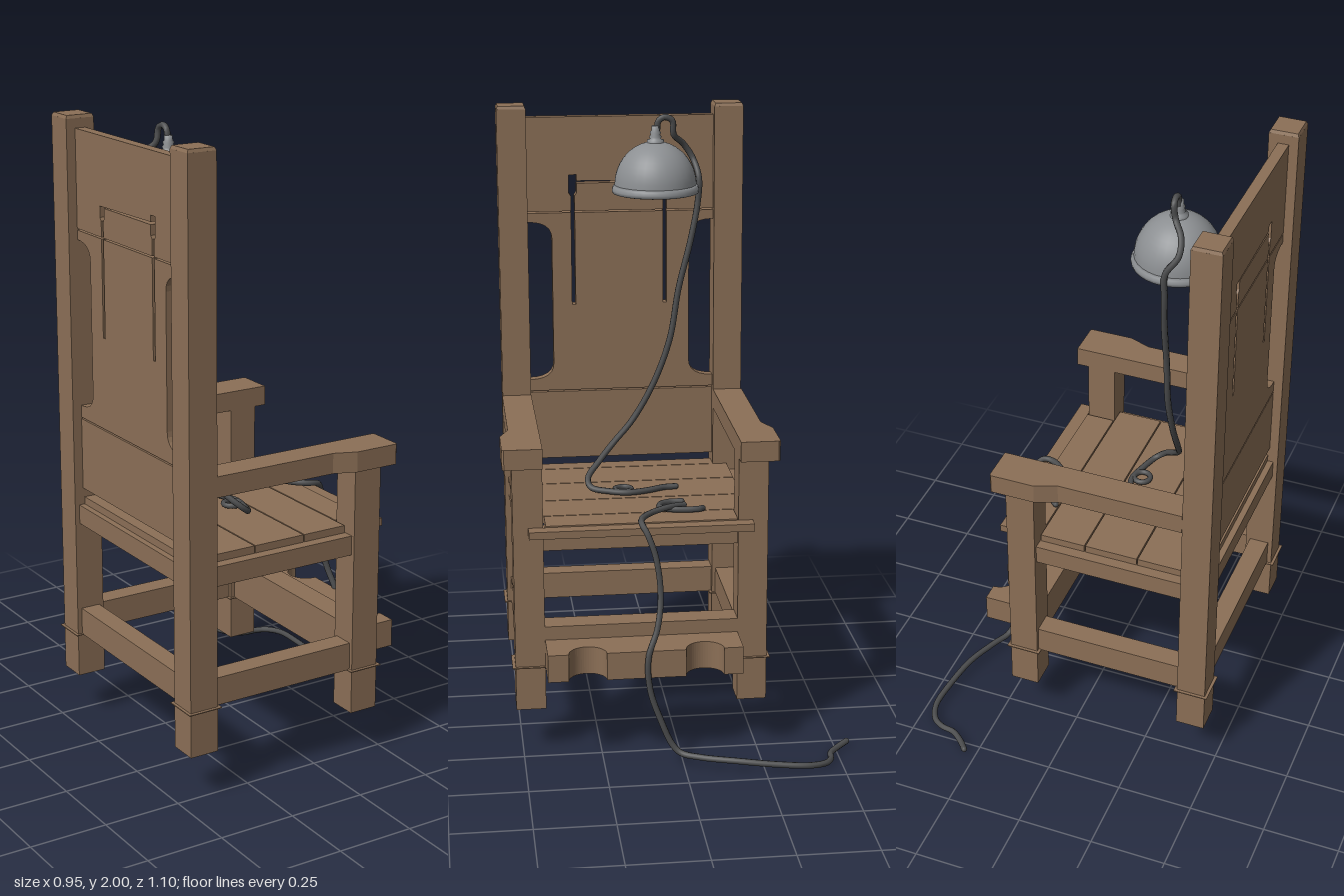
import * as THREE from 'three';

const WOOD = new THREE.MeshStandardMaterial({ color: 0x8b6f56, flatShading: true });
const METAL = new THREE.MeshStandardMaterial({ color: 0x8c8f92, side: THREE.DoubleSide });
const CABLE = new THREE.MeshStandardMaterial({ color: 0x4c4d4e });
const ZC = 0.1175; // middle of the chair across its width
const HALF = 0.308; // half the clear width between the posts

export function createModel() {
  const root = new THREE.Group();

  const add = (name, geo, mat = WOOD) => {
    const m = new THREE.Mesh(geo, mat);
    m.name = name;
    root.add(m);
    return m;
  };
  // Box given by its limits
  const box = (name, x0, x1, y0, y1, z0, z1, mat) => {
    const g = new THREE.BoxGeometry(x1 - x0, y1 - y0, z1 - z0);
    g.translate((x0 + x1) / 2, (y0 + y1) / 2, (z0 + z1) / 2);
    return add(name, g, mat);
  };
  // Box at a distance a..b from the middle, on one side or the other
  const sideBox = (name, s, x0, x1, y0, y1, a, b) =>
    box(name, x0, x1, y0, y1, Math.min(ZC + s * a, ZC + s * b), Math.max(ZC + s * a, ZC + s * b));
  // Flat board cut from an (x, z) outline
  const flatBoard = (name, shape, top, thick) => {
    const g = new THREE.ExtrudeGeometry(shape, { depth: thick, bevelEnabled: false, curveSegments: 12 });
    g.rotateX(Math.PI / 2).translate(0, top, 0);
    return add(name, g);
  };
  const polygon = pts => new THREE.Shape(pts.map(p => new THREE.Vector2(...p)));
  const zMin = ZC - HALF, zMax = ZC + HALF;

  for (const s of [-1, 1]) {
    // Posts, with thin collars near the feet and a shallow chamfered top on the tall ones
    sideBox('backPost', s, -0.465, -0.37, 0.155, 1.99, HALF, 0.403);
    const cap = new THREE.CylinderGeometry(0.061, 0.067, 0.01, 4).rotateY(Math.PI / 4);
    add('postCap', cap.translate(-0.4175, 1.995, ZC + s * 0.3555));
    sideBox('frontPost', s, 0.125, 0.22, 0.155, 0.97, HALF, 0.403);
    for (const x of [-0.4175, 0.1725])
      sideBox('footCollar', s, x - 0.057, x + 0.057, 0.299, 0.302, 0.299, 0.413);
    // Side rails
    sideBox('seatSideRail', s, -0.37, 0.125, 0.685, 0.748, 0.32, 0.39);
    sideBox('lowerSideRail', s, -0.37, 0.125, 0.3, 0.39, 0.32, 0.39);
    // Armrest, flaring outward at the hand
    const z = d => ZC + s * d;
    flatBoard('armrest', polygon([[-0.37, z(0.308)], [0.26, z(0.308)], [0.26, z(0.427)], [0.255, z(0.433)],
      [0.11, z(0.433)], [0.04, z(0.405)], [-0.37, z(0.405)]]), 1.035, 0.065);
  }

  // Cross rails
  box('seatFrontRail', 0.14, 0.205, 0.685, 0.748, zMin, zMax);
  box('seatBackRail', -0.45, -0.385, 0.685, 0.748, zMin, zMax);
  box('lowerFrontRail', 0.14, 0.22, 0.3, 0.435, zMin, zMax);
  box('lowerBackRail', -0.45, -0.385, 0.3, 0.39, zMin, zMax);

  // Seat planks
  const cuts = [-0.367, -0.207, -0.029, 0.124];
  for (let i = 0; i < 3; i++)
    box('seatPlank', cuts[i] + 0.002, cuts[i + 1] - 0.002, 0.748, 0.772, ZC - 0.355, ZC + 0.355);
  box('seatPlank', -0.43, -0.369, 0.748, 0.772, zMin, zMax);
  box('seatFrontPlank', 0.126, 0.222, 0.748, 0.772, zMin + 0.002, zMax - 0.008);
  box('seatEdgePlank', 0.223, 0.266, 0.744, 0.768, ZC - 0.353, ZC + 0.355);

  // Ankle board with two round notches
  const ankle = new THREE.Shape();
  ankle.moveTo(0.22, zMin);
  ankle.lineTo(0.35, zMin);
  for (const c of [-0.07, 0.3]) {
    ankle.lineTo(0.35, c - 0.06);
    ankle.absarc(0.35, c, 0.06, -Math.PI / 2, -Math.PI * 1.5, true);
  }
  ankle.lineTo(0.35, zMax);
  ankle.lineTo(0.22, zMax);
  flatBoard('ankleBoard', ankle, 0.39, 0.09);

  // Backrest boards: outlines in (z, y)
  const backBoard = (name, shape) => {
    const g = new THREE.ExtrudeGeometry(shape, { depth: 0.035, bevelEnabled: false, curveSegments: 6 });
    g.rotateY(-Math.PI / 2).translate(-0.4, 0, 0);
    add(name, g);
  };
  const slotA = -0.03, slotB = 0.275, w = 0.006, k = 0.013;
  box('lowerBackBoard', -0.435, -0.4, 0.803, 1.036, zMin, zMax);

  // Middle board with rounded side cutouts and two strap slots
  const mid = new THREE.Shape();
  const e = 0.08, r = 0.055;
  mid.moveTo(zMin, 1.041);
  mid.lineTo(zMax, 1.041);
  mid.lineTo(zMax, 1.08);
  mid.quadraticCurveTo(zMax - e, 1.08, zMax - e, 1.08 + r);
  mid.lineTo(zMax - e, 1.615 - r);
  mid.quadraticCurveTo(zMax - e, 1.615, zMax, 1.615);
  mid.lineTo(zMax, 1.645);
  for (const c of [slotB, slotA])
    for (const [dz, y] of [[w, 1.645], [w, 1.335], [-w, 1.335], [-w, 1.645]]) mid.lineTo(c + dz, y);
  mid.lineTo(zMin, 1.645);
  mid.lineTo(zMin, 1.615);
  mid.quadraticCurveTo(zMin + e, 1.615, zMin + e, 1.615 - r);
  mid.lineTo(zMin + e, 1.08 + r);
  mid.quadraticCurveTo(zMin + e, 1.08, zMin, 1.08);
  backBoard('middleBackBoard', mid);

  // Top board, its lower edge open around the slots and the centre piece
  backBoard('topBackBoard', polygon([[zMin, 1.65], [slotA - w, 1.65], [slotA - w, 1.7], [slotA - k, 1.71],
    [slotA - k, 1.745], [slotB - k, 1.75], [slotB - k, 1.77], [slotB + k, 1.77], [slotB + k, 1.71],
    [slotB + w, 1.7], [slotB + w, 1.65], [zMax, 1.65], [zMax, 1.96], [zMin, 1.96]]));
  backBoard('centreBackPiece', polygon([[slotA + w, 1.65], [slotB - w, 1.65], [slotB - w, 1.7],
    [slotB - k, 1.71], [slotB - k, 1.742], [slotA + k, 1.742], [slotA + k, 1.71], [slotA + w, 1.7]]));

  // Metal cap with rolled rim and a ribbed fitting on top
  const cap = new THREE.Group();
  cap.name = 'metalCap';
  cap.position.set(-0.23, 1.735, 0.02);
  root.add(cap);
  const lathe = (name, pts) => {
    const m = new THREE.Mesh(new THREE.LatheGeometry(pts.map(p => new THREE.Vector2(...p)), 32), METAL);
    m.name = name;
    cap.add(m);
  };
  const dome = [];
  for (let i = 0; i <= 12; i++) {
    const a = (i / 12) * Math.PI / 2;
    dome.push([0.132 * Math.cos(a), 0.025 + 0.14 * Math.sin(a)]);
  }
  lathe('dome', dome);
  lathe('rim', [[0.132, 0], [0.139, 0.002], [0.141, 0.012], [0.137, 0.022], [0.132, 0.028], [0.128, 0.02], [0.128, 0.004], [0.132, 0]]);
  lathe('fitting', [[0.027, 0.155], [0.027, 0.17], [0.017, 0.173], [0.02, 0.18], [0.015, 0.187],
    [0.018, 0.194], [0.013, 0.2], [0.013, 0.215], [0, 0.215]]);

  // Brackets holding the cap to the backrest
  for (const z of [-0.045, 0.09]) {
    box('capBracketFoot', -0.401, -0.388, 1.74, 1.77, z - 0.014, z + 0.014, METAL);
    const rod = new THREE.CylinderGeometry(0.007, 0.007, 0.06, 10).rotateZ(Math.PI / 2);
    add('capBracketRod', rod.translate(-0.36, 1.755, z), METAL);
  }

  // Cables
  const cable = (name, pts, radius = 0.01) => {
    const curve = new THREE.CatmullRomCurve3(pts.map(p => new THREE.Vector3(...p)));
    add(name, new THREE.TubeGeometry(curve, pts.length * 8, radius, 8), CABLE);
    for (const p of [pts[0], pts[pts.length - 1]])
      add(name + 'End', new THREE.SphereGeometry(radius, 8, 6).translate(...p), CABLE);
  };
  cable('capCable', [
    [-0.23, 1.93, 0.015], [-0.23, 1.965, 0.01], [-0.23, 1.977, -0.01], [-0.232, 1.965, -0.035],
    [-0.24, 1.92, -0.04], [-0.27, 1.885, -0.075], [-0.275, 1.84, -0.105], [-0.24, 1.78, -0.122],
    [-0.238, 1.7, -0.118], [-0.232, 1.58, -0.095], [-0.228, 1.42, -0.055], [-0.225, 1.25, -0.025],
    [-0.225, 1.1, 0.03], [-0.22, 0.98, 0.1], [-0.2, 0.91, 0.165], [-0.165, 0.86, 0.215], [-0.12, 0.815, 0.257],
    [-0.09, 0.793, 0.25], [-0.065, 0.785, 0.19], [-0.052, 0.783, 0.13], [-0.07, 0.783, 0.06],
    [-0.095, 0.783, 0.01], [-0.1, 0.783, -0.03]]);
  const coil = new THREE.TorusGeometry(0.027, 0.009, 8, 24).rotateX(Math.PI / 2);
  add('cableCoil', coil.translate(-0.082, 0.785, 0.145), CABLE);
  cable('seatCable', [
    [0.055, 0.782, -0.03], [0.055, 0.782, 0.01], [0.075, 0.782, 0.04], [0.11, 0.782, 0.045],
    [0.14, 0.785, 0.015], [0.15, 0.785, -0.03], [0.147, 0.785, -0.075], [0.132, 0.782, -0.088]]);
  cable('floorCable', [
    [0.115, 0.79, -0.03], [0.145, 0.795, 0.02], [0.18, 0.79, 0.08], [0.225, 0.787, 0.115],
    [0.262, 0.782, 0.12], [0.285, 0.755, 0.105], [0.298, 0.68, 0.08], [0.31, 0.56, 0.067], [0.335, 0.46, 0.08],
    [0.353, 0.37, 0.11], [0.351, 0.26, 0.105], [0.352, 0.15, 0.07], [0.355, 0.07, 0.035], [0.365, 0.045, 0.01],
    [0.395, 0.04, -0.05], [0.435, 0.04, -0.16], [0.457, 0.032, -0.28], [0.463, 0.025, -0.39], [0.44, 0.02, -0.445],
    [0.405, 0.017, -0.467], [0.36, 0.015, -0.475], [0.32, 0.015, -0.505], [0.29, 0.02, -0.54]]);

  return root;
}
